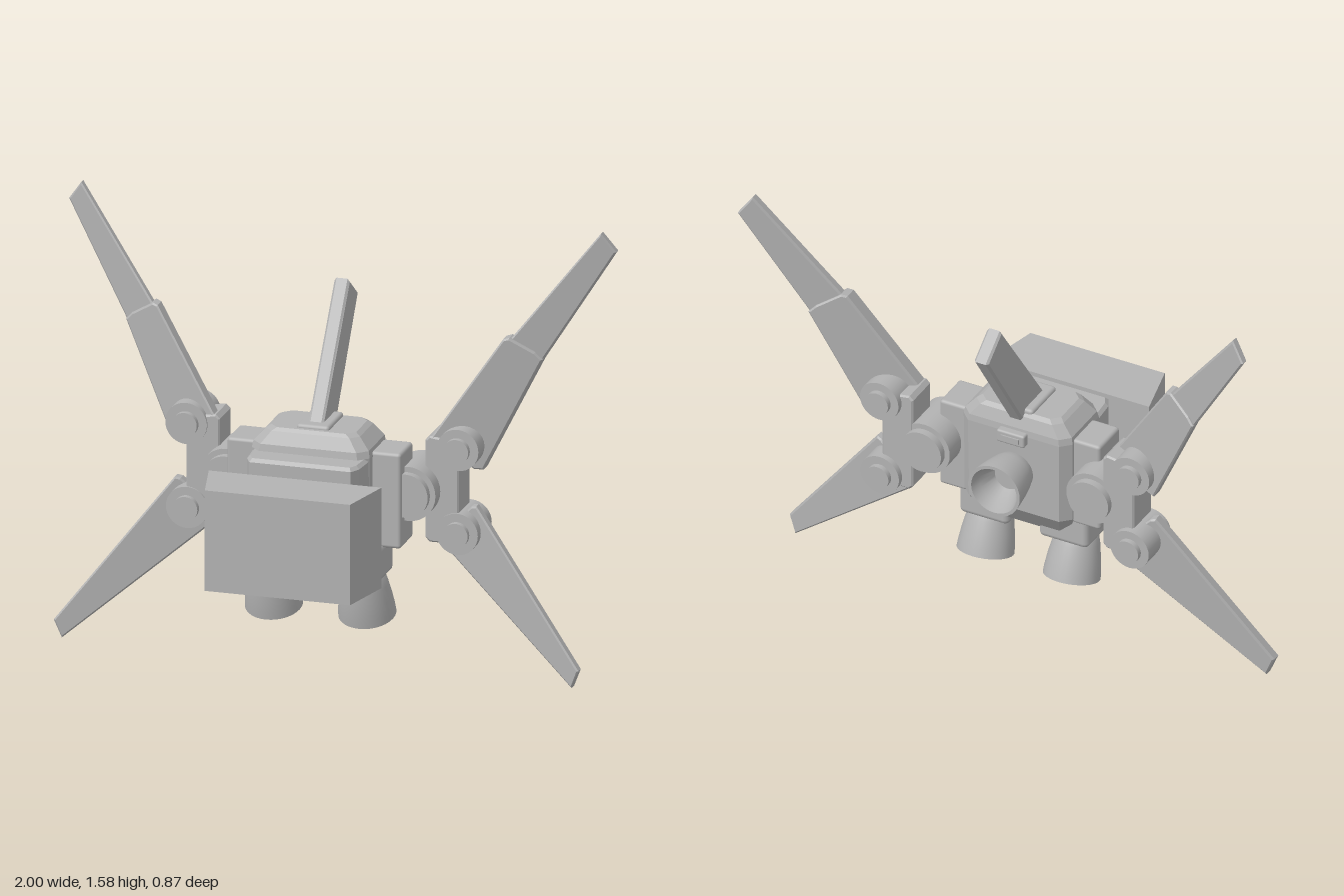
import * as THREE from 'three';
import { toCreasedNormals } from 'three/addons/utils/BufferGeometryUtils.js';
import { RoundedBoxGeometry } from 'three/addons/geometries/RoundedBoxGeometry.js';

export function createModel() {
  const root = new THREE.Group();
  root.name = 'thrusterBackpack';
  const grey = new THREE.MeshStandardMaterial({ color: 0xb2b2b2 });
  grey.name = 'plain grey';

  const add = (name, geo, x = 0, y = 0, z = 0, rx = 0) => {
    const m = new THREE.Mesh(geo, grey);
    m.name = name;
    m.position.set(x, y, z);
    m.rotation.x = rx;
    root.add(m);
    return m;
  };
  const block = (w, h, d, r = 0.012) => new RoundedBoxGeometry(w, h, d, 2, r);

  // Stack of chamfered rectangles: [y, halfWidth, zFront, zBack, chamfer]
  const loft = (sections) => {
    const rings = sections.map(([y, w, f, b, c]) => [
      [w, f - c], [w, b + c], [w - c, b], [c - w, b],
      [-w, b + c], [-w, f - c], [c - w, f], [w - c, f],
    ].map(([x, z]) => [x, y, z]));
    const pos = [];
    const tri = (...pts) => pts.forEach((p) => pos.push(...p));
    for (let i = 0; i + 1 < rings.length; i++) {
      for (let j = 0; j < 8; j++) {
        const k = (j + 1) % 8, lo = rings[i], hi = rings[i + 1];
        tri(lo[j], lo[k], hi[k]);
        tri(lo[j], hi[k], hi[j]);
      }
    }
    const top = rings[rings.length - 1], bottom = rings[0];
    for (let j = 1; j < 7; j++) {
      tri(top[0], top[j], top[j + 1]);
      tri(bottom[0], bottom[j + 1], bottom[j]);
    }
    const g = new THREE.BufferGeometry();
    g.setAttribute('position', new THREE.Float32BufferAttribute(pos, 3));
    g.computeVertexNormals();
    return g;
  };

  // Extruded outline with a small bevel, centred in depth
  const plate = (pts, depth, bevel = 0.006) => {
    const g = new THREE.ExtrudeGeometry(new THREE.Shape(pts.map((p) => new THREE.Vector2(...p))), {
      depth: depth - 2 * bevel, bevelEnabled: bevel > 0, bevelSize: bevel,
      bevelThickness: bevel, bevelOffset: -bevel, bevelSegments: 1,
    });
    return g.translate(0, 0, bevel - depth / 2);
  };

  // Wing panel sheared back or forward towards its tip
  const wing = (pts, s, depth, z0, slope) => {
    const g = plate(pts.map(([x, y]) => [s * x, y]), depth);
    const p = g.attributes.position;
    for (let i = 0; i < p.count; i++) p.setZ(i, p.getZ(i) + z0 + slope * Math.abs(p.getX(i)));
    g.computeVertexNormals();
    return g;
  };

  // Stepped pivot along z
  const pivot = (name, x, y, z, r, len, capR, capLen) => {
    for (const [part, rad, l] of [['Drum', r, len], ['Cap', capR, capLen]]) {
      add(name + part, new THREE.CylinderGeometry(rad, rad, l, 32).rotateX(Math.PI / 2), x, y, z);
    }
  };

  // Hollow bell nozzle, opening towards -y with its rim at y = 0
  const nozzle = (len) => toCreasedNormals(new THREE.LatheGeometry([
    [0, 0.6], [0.05, 0.6], [0.078, 0.25], [0.09, 0], [0.102, 0], [0.1, 0.15], [0.094, 0.4],
    [0.084, 0.7], [0.073, 0.93], [0.064, 1], [0, 1],
  ].map(([r, t]) => new THREE.Vector2(r, t * len)), 32), 0.6);

  // Detached front block, wider at the back
  add('frontBlock', plate([[-0.265, -0.435], [0.265, -0.435], [0.315, -0.225], [-0.315, -0.225]], 0.37, 0)
    .rotateX(-Math.PI / 2), 0, 0.578, 0);

  // Body
  add('body', loft([
    [0.38, 0.17, 0.05, -0.11, 0.03], [0.48, 0.212, 0.07, -0.185, 0.035],
    [0.8, 0.215, 0.075, -0.19, 0.035], [0.825, 0.21, 0.07, -0.187, 0.035],
    [0.868, 0.172, 0.045, -0.17, 0.03], [0.88, 0.155, 0.035, -0.155, 0.03],
  ]));
  add('chestPlate', plate([
    [-0.212, -0.04], [-0.205, -0.13], [-0.185, -0.168], [0.185, -0.168], [0.205, -0.13], [0.212, -0.04],
  ], 0.44, 0.012).rotateX(-Math.PI / 2), 0, 0.58, 0);

  // Dorsal fin, its foot and the rear vent
  add('dorsalFin', plate([
    [0.01, 0.85], [-0.33, 1.322], [-0.435, 1.242], [-0.17, 0.845],
  ], 0.056, 0.008).rotateY(-Math.PI / 2));
  add('finFoot', block(0.12, 0.03, 0.18), 0, 0.878, -0.07);
  add('rearVent', block(0.11, 0.05, 0.05, 0.008), 0, 0.79, -0.19);
  add('rearVentInset', new THREE.BoxGeometry(0.07, 0.02, 0.008), 0, 0.79, -0.216);

  // Rear nozzle
  add('rearNozzle', nozzle(0.17), 0, 0.643, -0.335, Math.PI / 2);

  for (const s of [1, -1]) {
    const side = s > 0 ? 'left' : 'right';

    // Lower thruster
    add(side + 'ThrusterMount', block(0.195, 0.13, 0.165, 0.02), s * 0.157, 0.41, -0.038);
    add(side + 'ThrusterHousing', block(0.15, 0.12, 0.16), s * 0.165, 0.465, -0.005, 0.28);
    add(side + 'ThrusterNozzle', nozzle(0.185), s * 0.17, 0.19, -0.077, 0.28);

    // Shoulder block and joint
    add(side + 'ShoulderBlock', block(0.11, 0.35, 0.15), s * 0.262, 0.638, -0.07);
    pivot(side + 'Shoulder', s * 0.33, 0.655, -0.135, 0.1, 0.19, 0.08, 0.245);

    // Bracket holding both wing hinges
    add(side + 'WingBracket', plate([
      [0.375, 0.48], [0.39, 0.465], [0.46, 0.465], [0.497, 0.5], [0.497, 0.82], [0.46, 0.845],
      [0.39, 0.855], [0.375, 0.84],
    ].map(([x, y]) => [s * x, y]), 0.135), 0, 0, -0.165);
    pivot(side + 'UpperHinge', s * 0.495, 0.815, -0.173, 0.076, 0.165, 0.045, 0.205);
    pivot(side + 'LowerHinge', s * 0.493, 0.506, -0.173, 0.076, 0.165, 0.045, 0.205);

    // Upper wing: thick root sleeve and slimmer blade
    add(side + 'UpperWingRoot', wing([
      [0.395, 0.85], [0.535, 0.73], [0.567, 0.727], [0.76, 1.128], [0.735, 1.155], [0.65, 1.21], [0.63, 1.205],
    ], s, 0.056, 0.02, -0.37));
    add(side + 'UpperWingBlade', wing([
      [0.6, 1.13], [0.72, 1.06], [0.998, 1.515], [0.948, 1.585], [0.65, 1.2],
    ], s, 0.034, 0.02, -0.37));

    // Lower wing
    add(side + 'LowerWing', wing([
      [0.39, 0.46], [0.93, 0.003], [0.957, 0.07], [0.55, 0.6], [0.53, 0.595],
    ], s, 0.04, -0.305, 0.28));
  }
  return root;
}
